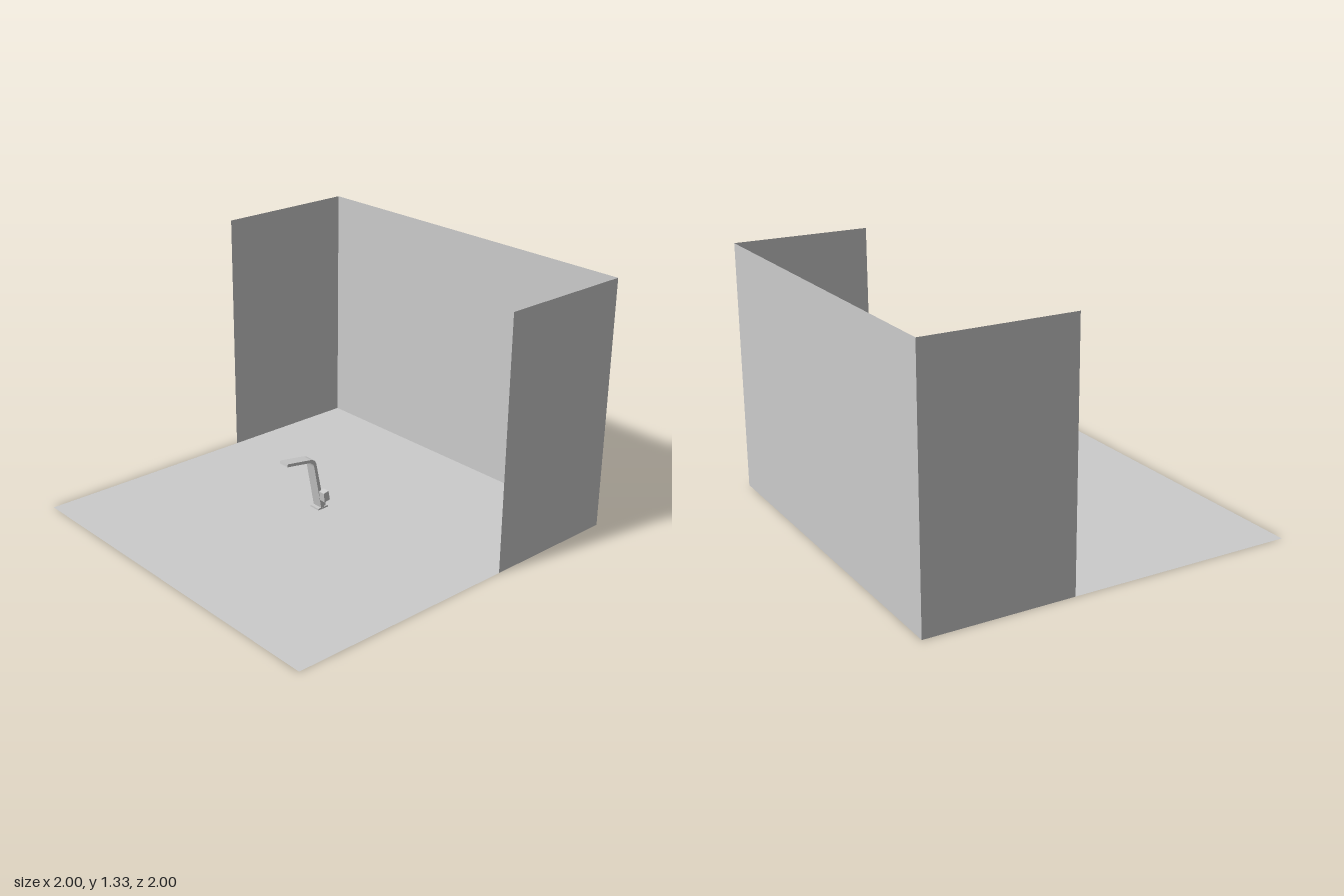
import * as THREE from 'three';

const grey = new THREE.MeshStandardMaterial({ color: 0xcccccc, flatShading: true });
const thin = new THREE.MeshStandardMaterial({ color: 0xcccccc, side: THREE.DoubleSide });

function add(parent, name, geometry, material = grey) {
  const mesh = new THREE.Mesh(geometry, material);
  mesh.name = name;
  parent.add(mesh);
  return mesh;
}

// Side profile in x/y, extruded along z from z0 to z1
function slab(shape, z0, z1) {
  return new THREE.ExtrudeGeometry(shape, { depth: z1 - z0, bevelEnabled: false, curveSegments: 8 }).translate(0, 0, z0);
}

function polygon(points) {
  return new THREE.Shape(points.map(([x, y]) => new THREE.Vector2(x, y)));
}

export function createModel() {
  const model = new THREE.Group();
  const H = 1.33;

  // Ground sheet and three thin walls
  add(model, 'floor', new THREE.PlaneGeometry(2, 2).rotateX(-Math.PI / 2), thin);
  add(model, 'sideWall', new THREE.PlaneGeometry(2, H).rotateY(-Math.PI / 2).translate(1, H / 2, 0), thin);
  for (const [name, z, edge] of [['frontWall', 1, 0.26], ['backWall', -1, 0.22]]) {
    add(model, name, new THREE.PlaneGeometry(1 - edge, H).translate((1 + edge) / 2, H / 2, z), thin);
  }

  // Leaning post with a curved neck and a long flat arm
  const lamp = new THREE.Group();
  lamp.name = 'lamp';
  model.add(lamp);
  const arm = new THREE.Shape();
  arm.moveTo(0.047, 0.008);
  arm.lineTo(0.068, 0.008);
  arm.lineTo(0.016, 0.265);
  arm.quadraticCurveTo(0.011, 0.302, -0.025, 0.309);
  arm.lineTo(-0.177, 0.333);
  arm.lineTo(-0.179, 0.317);
  arm.lineTo(-0.03, 0.293);
  arm.quadraticCurveTo(-0.006, 0.288, -0.001, 0.262);
  arm.closePath();
  add(lamp, 'postAndArm', slab(arm, -0.118, -0.058));

  // Lamp panel under the tip of the arm
  const panel = add(lamp, 'lampPanel', new THREE.BoxGeometry(0.025, 0.006, 0.045));
  panel.position.set(-0.16, 0.313, -0.088);
  panel.rotation.z = -0.16;

  // Foot plate and the sleeve bracing the outer side of the post
  add(lamp, 'footPlate', new THREE.BoxGeometry(0.066, 0.009, 0.062).translate(0.059, 0.0055, -0.088));
  add(lamp, 'sleeve', slab(polygon([[0.06, 0.008], [0.084, 0.008], [0.067, 0.1], [0.045, 0.1]]), -0.112, -0.064));

  // Control box on the front flank, tilted like the post
  add(lamp, 'controlBox', slab(polygon([[0.038, 0.058], [0.074, 0.065], [0.064, 0.118], [0.032, 0.11]]), -0.06, -0.02));
  return model;
}
